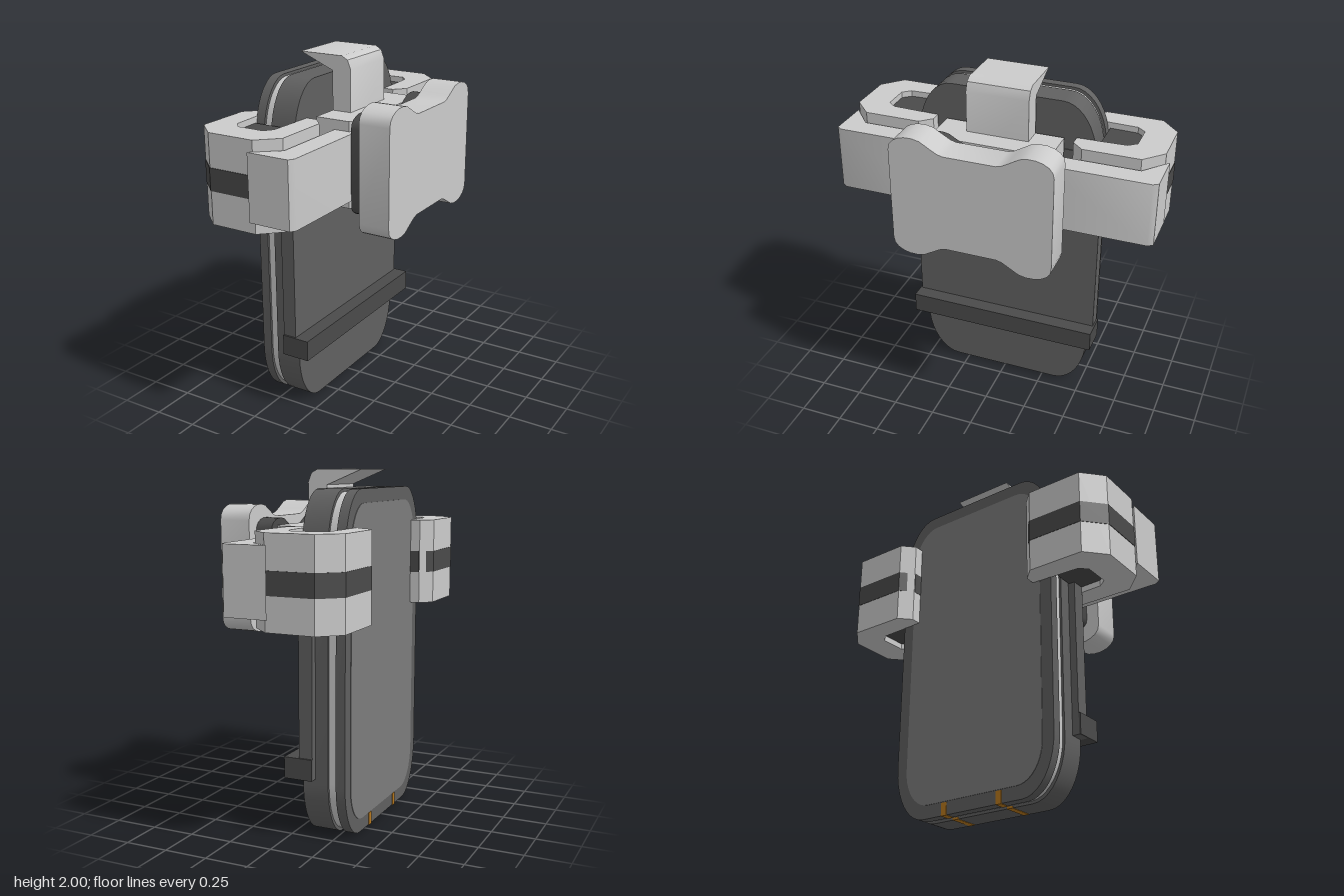
import * as THREE from 'three';
import { toCreasedNormals } from 'three/addons/utils/BufferGeometryUtils.js';

const mat = (color) => new THREE.MeshStandardMaterial({ color });
const GREY = mat(0xcccccc), BODY = mat(0x606060), DARK = mat(0x4a4a4a);
const SCREEN = mat(0x7c7c7c), ORANGE = mat(0xb8781c);

const poly = (pts) => new THREE.Shape(pts.map(([a, b]) => new THREE.Vector2(a, b)));

function extrude(shape, depth) {
  const g = new THREE.ExtrudeGeometry(shape, { depth, bevelEnabled: false, curveSegments: 10 });
  return toCreasedNormals(g, 0.6);
}

// Profile in z/y, extruded from x0 to x1
const alongX = (shape, x0, x1) => extrude(shape, x1 - x0).rotateY(Math.PI / 2).translate(x0, 0, 0);
// Profile in x/-z, extruded from y0 to y1
const alongY = (shape, y0, y1) => extrude(shape, y1 - y0).rotateX(-Math.PI / 2).translate(0, y0, 0);
// Profile in x/y, centred on z
const alongZ = (shape, half) => extrude(shape, half * 2).translate(0, 0, -half);

// Upright panel outline with soft corners: half width w, from y0 to y1
function panel(w, y0, y1, cz, cy) {
  const s = new THREE.Shape(), k = 0.45;
  s.moveTo(-w + cz, y0);
  s.lineTo(w - cz, y0);
  s.bezierCurveTo(w - cz * k, y0, w, y0 + cy * k, w, y0 + cy);
  s.lineTo(w, y1 - cy);
  s.bezierCurveTo(w, y1 - cy * k, w - cz * k, y1, w - cz, y1);
  s.lineTo(-w + cz, y1);
  s.bezierCurveTo(-w + cz * k, y1, -w, y1 - cy * k, -w, y1 - cy);
  s.lineTo(-w, y0 + cy);
  s.bezierCurveTo(-w, y0 + cy * k, -w + cz * k, y0, -w + cz, y0);
  return s;
}

// Four-lobed mount outline, w and h are half sizes
function lobed(w, h, cy) {
  const quarter = [[1, 0.76], [0.985, 0.85], [0.94, 0.92], [0.87, 0.97], [0.79, 0.997],
    [0.69, 1], [0.6, 0.975], [0.46, 0.87], [0.39, 0.82], [0.32, 0.795]];
  const top = [...quarter, ...quarter.map(([a, b]) => [-a, b]).reverse()];
  const all = [...top, ...top.map(([a, b]) => [-a, -b])];
  return poly(all.map(([a, b]) => [a * w, cy + b * h]));
}

export function createModel() {
  const root = new THREE.Group();
  const add = (name, geo, material, parent = root) => {
    const m = new THREE.Mesh(geo, material);
    m.name = name;
    parent.add(m);
    return m;
  };
  const box = (name, [x0, x1], [y0, y1], [z0, z1], material, parent) =>
    add(name, new THREE.BoxGeometry(x1 - x0, y1 - y0, z1 - z0)
      .translate((x0 + x1) / 2, (y0 + y1) / 2, (z0 + z1) / 2), material, parent);

  // Handheld device: two slabs with a pale seam between them
  const device = new THREE.Group();
  device.name = 'device';
  root.add(device);
  add('deviceFrontSlab', alongX(panel(0.525, 0, 1.9, 0.2, 0.32), -0.335, -0.28), BODY, device);
  add('seamStrip', alongX(panel(0.512, 0.015, 1.885, 0.2, 0.31), -0.285, -0.23), GREY, device);
  add('deviceBackSlab', alongX(panel(0.525, 0, 1.9, 0.2, 0.32), -0.235, -0.085), BODY, device);
  add('screen', alongX(panel(0.455, 0.075, 1.825, 0.16, 0.22), -0.338, -0.33), SCREEN, device);
  for (const z of [-0.18, 0.18]) {
    box('frontAccent', [-0.3385, -0.275], [-0.002, 0.07], [z - 0.018, z + 0.018], ORANGE, device);
    box('backAccent', [-0.24, -0.09], [-0.002, 0.01], [z - 0.018, z + 0.018], ORANGE, device);
  }

  // Back tray and its lower ledge
  box('backTray', [-0.16, -0.08], [0.345, 1.62], [-0.565, 0.565], BODY);
  box('trayLedge', [-0.16, 0.005], [0.345, 0.465], [-0.575, 0.575], DARK);

  // Side clamps, mirrored in z
  const outer = [[-0.335, 0.41], [-0.395, 0.41], [-0.46, 0.475], [-0.46, 0.8], [-0.345, 0.905],
    [-0.07, 0.905], [0.04, 0.8], [0.04, 0.475], [-0.02, 0.41], [-0.08, 0.41]];
  const inner = [[-0.092, 0.69], [-0.13, 0.737], [-0.285, 0.737], [-0.325, 0.69]];
  const band = [[-0.39, 0.408], [-0.462, 0.474], [-0.462, 0.801], [-0.346, 0.908], [-0.069, 0.908],
    [-0.069, 0.88], [-0.33, 0.88], [-0.43, 0.79], [-0.43, 0.48], [-0.36, 0.43], [-0.335, 0.408]];
  const pad = [[-0.335, 0.53], [-0.08, 0.53], [-0.09, 0.69], [-0.13, 0.74], [-0.285, 0.74], [-0.327, 0.69]];
  const hook = [[-0.09, 0.925], [0.155, 0.925], [0.175, 0.895], [0.175, 0.3], [0.05, 0.3], [0.05, 0.805]];
  for (const s of [1, -1]) {
    const clamp = new THREE.Group();
    clamp.name = s > 0 ? 'leftClamp' : 'rightClamp';
    root.add(clamp);
    const side = (pts) => poly(pts.map(([x, z]) => [x, -s * z]));
    add('clampJaw', alongY(side([...outer, ...inner]), 1.205, 1.7), GREY, clamp);
    add('clampBand', alongY(side(band), 1.39, 1.515), DARK, clamp);
    add('clampPad', alongY(side(pad), 1.24, 1.665), DARK, clamp);
    add('sideArm', alongY(side(hook), 1.27, 1.64), GREY, clamp);
  }

  // Top hook reaching over the device
  add('topHook', alongZ(poly([[-0.27, 2], [-0.005, 2], [0.03, 1.98], [0.05, 1.93], [0.05, 1.4],
    [-0.065, 1.4], [-0.065, 1.915]]), 0.18), GREY);

  // Hub behind the arms
  const hub = [[-0.065, 0.345], [0.14, 0.345], [0.175, 0.31]];
  add('hub', alongY(poly([...hub, ...hub.map(([x, z]) => [x, -z]).reverse()]), 1.21, 1.695), GREY);

  // Mount: dark spacer and pale lobed plate
  add('mountSpacer', alongX(lobed(0.38, 0.28, 1.455), 0.175, 0.275), DARK);
  add('mountPlate', alongX(lobed(0.458, 0.355, 1.455), 0.27, 0.45), GREY);

  return root;
}
